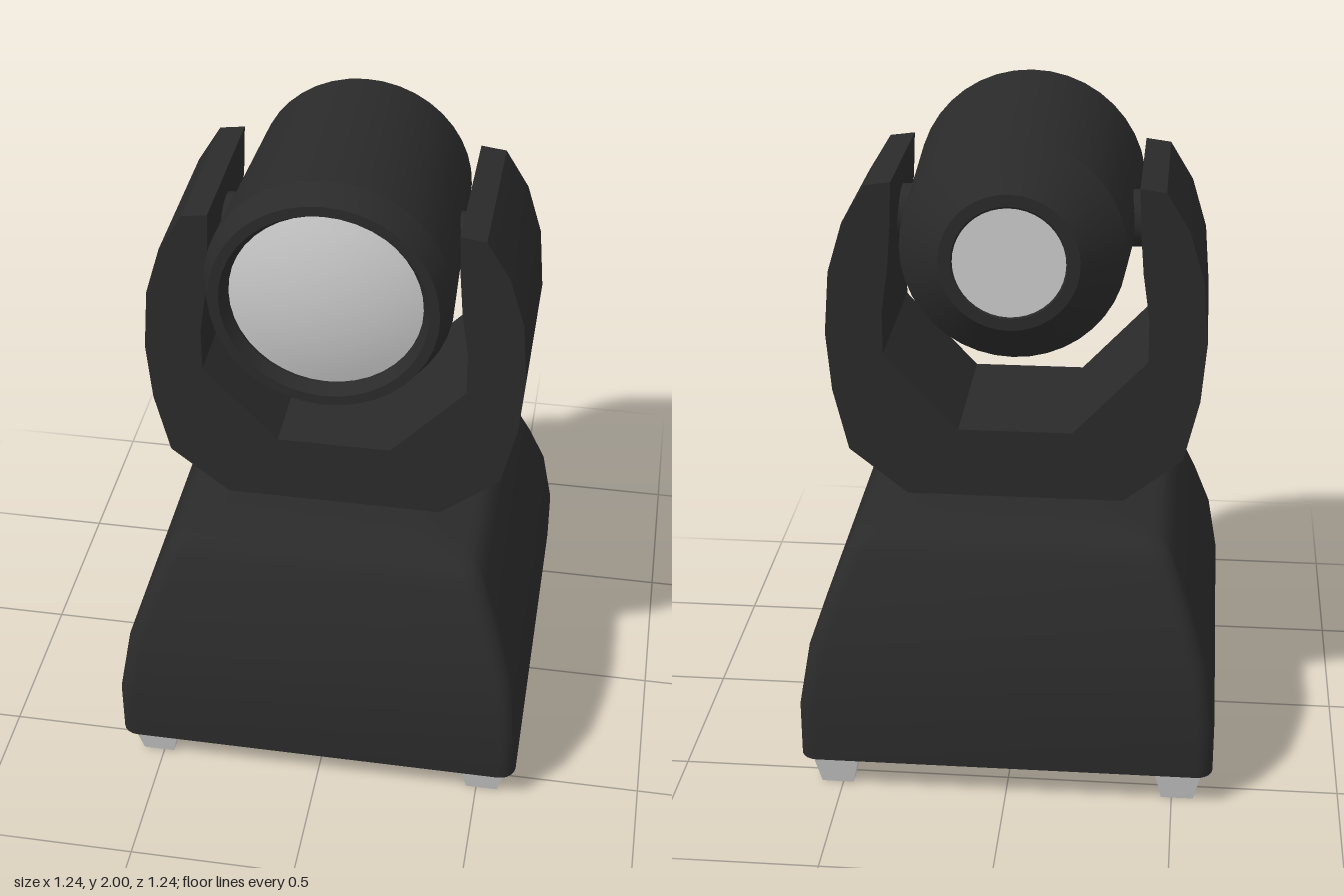
import * as THREE from 'three';
import { toCreasedNormals } from 'three/addons/utils/BufferGeometryUtils.js';

const black = new THREE.MeshStandardMaterial({ color: 0x2a2a2a });
const grey = new THREE.MeshStandardMaterial({ color: 0xcccccc });

const V = (list) => list.map(([x, y]) => new THREE.Vector2(x, y));

function part(parent, name, geometry, material, x = 0, y = 0, z = 0) {
  const mesh = new THREE.Mesh(geometry, material);
  mesh.name = name;
  mesh.position.set(x, y, z);
  parent.add(mesh);
  return mesh;
}

// Stack of rounded squares, each given as [half width, corner radius, height]
function roundedLoft(rings, steps = 5) {
  const pos = [], index = [], n = 4 * (steps + 1);
  for (const [half, radius, y] of rings) {
    for (let c = 0; c < 4; c++) {
      for (let s = 0; s <= steps; s++) {
        const a = (c + s / steps) * Math.PI / 2;
        const mid = (c + 0.5) * Math.PI / 2;
        pos.push(
          Math.sign(Math.cos(mid)) * (half - radius) + radius * Math.cos(a), y,
          Math.sign(Math.sin(mid)) * (half - radius) + radius * Math.sin(a));
      }
    }
  }
  for (let i = 0; i < rings.length - 1; i++) {
    for (let j = 0; j < n; j++) {
      const k = (j + 1) % n;
      const a = i * n + j, b = i * n + k, c = a + n, d = b + n;
      if (rings[i][0] > 0) index.push(a, c, b);
      if (rings[i + 1][0] > 0) index.push(b, c, d);
    }
  }
  const g = new THREE.BufferGeometry();
  g.setAttribute('position', new THREE.Float32BufferAttribute(pos, 3));
  g.setIndex(index);
  return toCreasedNormals(g, 0.6);
}

// Lathe profile [radius, z] turned around the z axis
function latheZ(profile, crease = 0.35) {
  const g = new THREE.LatheGeometry(V(profile), 40).rotateX(Math.PI / 2);
  return toCreasedNormals(g, crease);
}

export function createModel() {
  const model = new THREE.Group();
  model.name = 'movingHeadLight';

  // Domed square base
  part(model, 'base', roundedLoft([
    [0, 0, 0.11], [0.62, 0.05, 0.11], [0.62, 0.05, 0.28], [0.59, 0.05, 0.465],
    [0.54, 0.05, 0.61], [0.49, 0.05, 0.735], [0.465, 0.05, 0.78],
    [0.44, 0.05, 0.798], [0.41, 0.05, 0.805], [0, 0, 0.805],
  ]), black);

  // Tapered square feet
  const footGeo = toCreasedNormals(
    new THREE.CylinderGeometry(0.072 * Math.SQRT2, 0.048 * Math.SQRT2, 0.11, 4).rotateY(Math.PI / 4), 0.3);
  for (const x of [-1, 1]) {
    for (const z of [-1, 1]) part(model, 'foot', footGeo, grey, x * 0.517, 0.055, z * 0.517);
  }

  // Turning neck between base and yoke
  part(model, 'neck', new THREE.CylinderGeometry(0.13, 0.13, 0.06, 32), grey, 0, 0.825, 0);

  // U-shaped yoke, half outline mirrored
  const half = [
    [0.325, 0.84], [0.5, 0.98], [0.545, 1.17], [0.56, 1.35], [0.545, 1.54],
    [0.5, 1.69], [0.43, 1.805], [0.355, 1.815], [0.36, 1.69], [0.37, 1.56],
    [0.39, 1.42], [0.39, 1.29], [0.17, 1.055],
  ];
  const outline = [...half, ...half.map(([x, y]) => [-x, y]).reverse()];
  const yoke = new THREE.ExtrudeGeometry(new THREE.Shape(V(outline)), { depth: 0.52, bevelEnabled: false });
  yoke.translate(0, 0, -0.26);
  part(model, 'yoke', toCreasedNormals(yoke, 0.28), black);

  // Tilting head with its pivots
  const head = new THREE.Group();
  head.name = 'head';
  head.position.y = 1.645;
  model.add(head);

  part(head, 'housing', latheZ([
    [0, -0.435], [0.16, -0.435], [0.165, -0.44], [0.2, -0.44], [0.325, -0.325],
    [0.355, 0.335], [0.325, 0.42], [0.295, 0.42], [0.275, 0.385], [0.275, 0.35], [0, 0.35],
  ]), black);

  // Domed front lens
  const lens = [];
  for (let i = 0; i <= 8; i++) {
    const r = 0.275 * (1 - i / 8);
    lens.push([r, 0.375 + 0.045 * (1 - (r / 0.275) ** 2)]);
  }
  part(head, 'lens', latheZ(lens, 1), grey);

  // Round rear plate
  part(head, 'rearPlate', new THREE.CircleGeometry(0.16, 40).rotateY(Math.PI), grey, 0, 0, -0.438);

  const pivotGeo = new THREE.CylinderGeometry(0.085, 0.085, 0.12, 24).rotateZ(Math.PI / 2);
  for (const s of [-1, 1]) part(head, 'pivot', pivotGeo, black, s * 0.335, 0, 0);

  return model;
}
